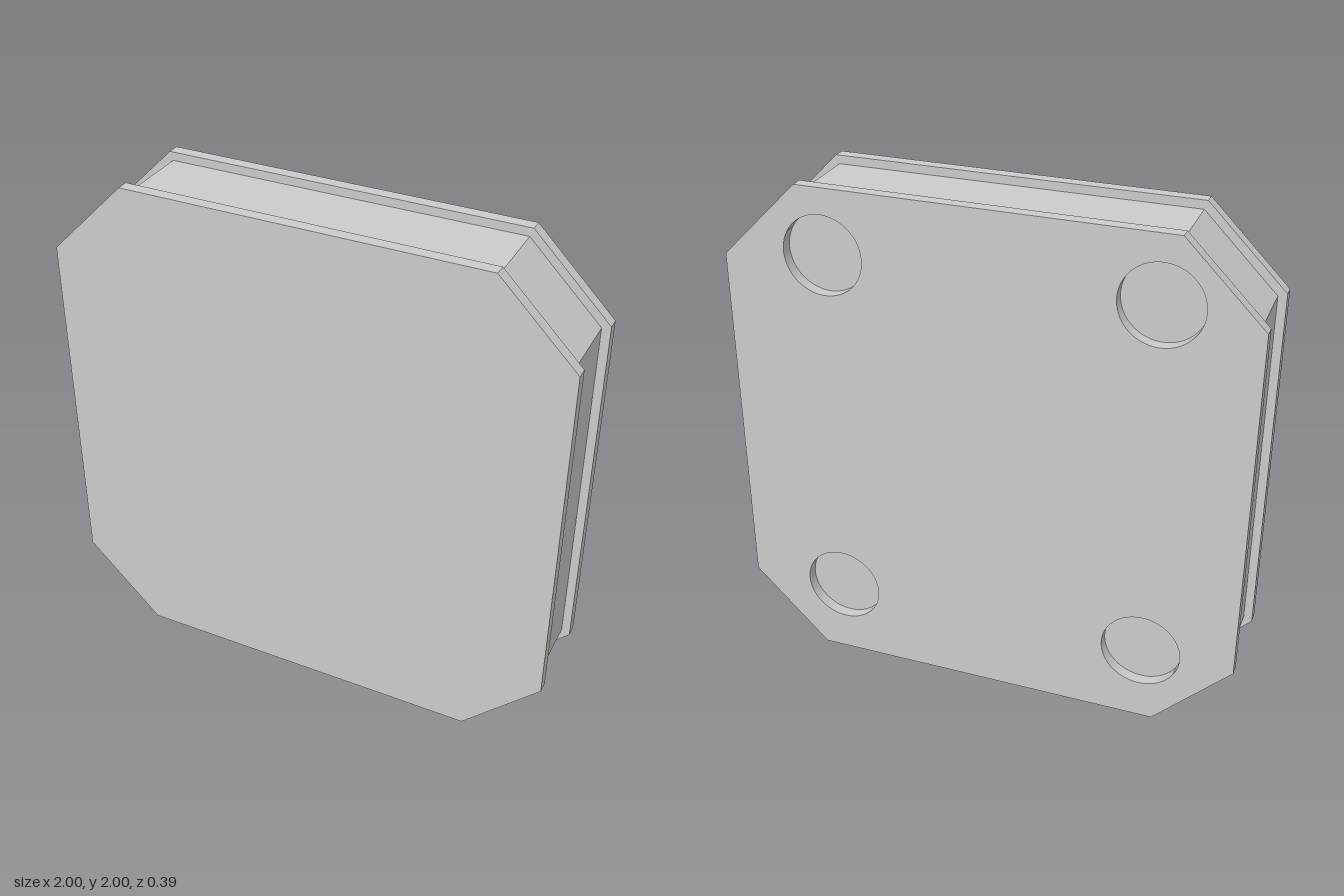
import * as THREE from 'three';

const material = new THREE.MeshStandardMaterial({ color: 0xcccccc });

// Square with cut corners, centred on the origin
function octagon(half, flat) {
  const points = [];
  for (const [sx, sy] of [[1, 1], [-1, 1], [-1, -1], [1, -1]]) {
    const a = new THREE.Vector2(sx * half, sy * flat);
    const b = new THREE.Vector2(sx * flat, sy * half);
    points.push(...(sx * sy > 0 ? [a, b] : [b, a]));
  }
  return new THREE.Shape(points);
}

// Extruded slab from z0 to z1, raised to stand on the ground
function slab(name, shape, z0, z1) {
  const geometry = new THREE.ExtrudeGeometry(shape, {
    depth: z1 - z0, bevelEnabled: false, curveSegments: 48,
  });
  geometry.translate(0, 1, z0);
  const mesh = new THREE.Mesh(geometry, material);
  mesh.name = name;
  return mesh;
}

export function createModel() {
  const group = new THREE.Group();
  group.name = 'octagonalPanel';
  const outer = 0.195, inner = 0.148;

  // Front plate and the slightly smaller core
  group.add(slab('frontPlate', octagon(1, 0.7), inner, outer));
  group.add(slab('core', octagon(0.967, 0.688), -inner, inner));

  // Back plate with four round recesses that end on the core
  const back = octagon(1, 0.7);
  for (const x of [-0.64, 0.605]) {
    for (const y of [-0.69, 0.745]) {
      const hole = new THREE.Path();
      hole.absarc(x, y, 0.154, 0, Math.PI * 2, true);
      back.holes.push(hole);
    }
  }
  group.add(slab('backPlate', back, -outer, -inner));
  return group;
}
